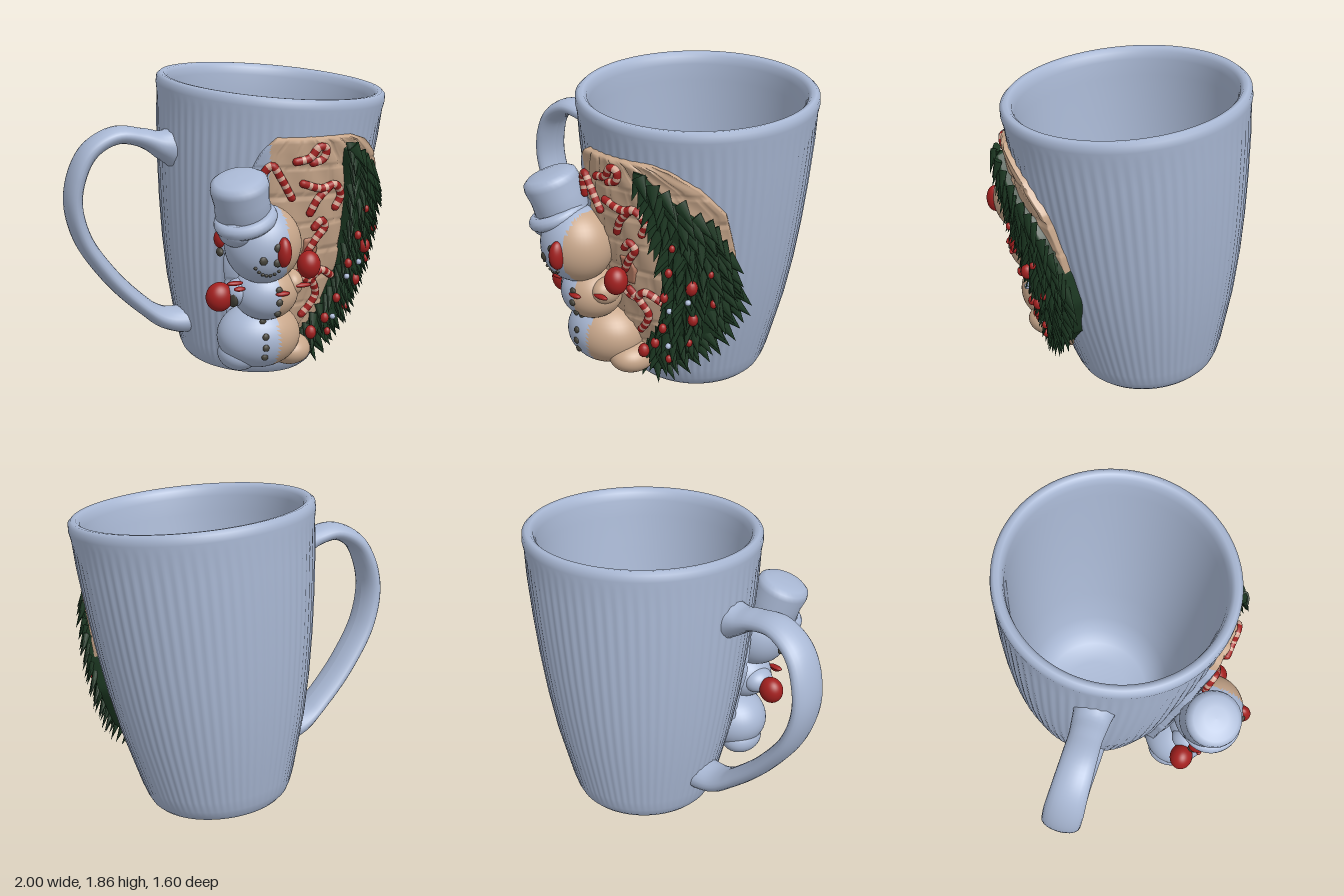
import * as THREE from 'three';
import { mergeGeometries, mergeVertices } from 'three/addons/utils/BufferGeometryUtils.js';

const mat = (name, color) => Object.assign(new THREE.MeshStandardMaterial({ color }), { name });
const V = (x, y, z) => new THREE.Vector3(x, y, z);

// outer wall of the mug as [height, radius]
const WALL = [[0, 0.36], [0.012, 0.39], [0.035, 0.413], [0.08, 0.435], [0.15, 0.457], [0.3, 0.495], [0.5, 0.545], [0.75, 0.592],
  [1, 0.628], [1.25, 0.656], [1.5, 0.678], [1.66, 0.688]];

// piecewise linear lookup in a table sorted by its first column
function lookup(table, t) {
  if (t <= table[0][0]) return table[0][1];
  for (let i = 1; i < table.length; i++) {
    const [a, va] = table[i - 1], [b, vb] = table[i];
    if (t <= b) return va + (vb - va) * (t - a) / (b - a);
  }
  return table[table.length - 1][1];
}

// point on the leaning mug wall; angle in degrees from the front
const LEAN = V(0.059, 1, 0.078);
const axisX = y => 0.2 + LEAN.x * y, axisZ = y => -0.235 + LEAN.z * y;
function onWall(deg, y, off) {
  const r = lookup(WALL, y + 0.01) + off, a = deg * Math.PI / 180;
  return V(axisX(y) + r * Math.sin(a), y, axisZ(y) + r * Math.cos(a));
}
function wallAtX(x, y, off) {
  const s = (x - axisX(y)) / (lookup(WALL, y + 0.01) + off);
  return onWall(Math.asin(Math.max(-1, Math.min(1, s))) * 180 / Math.PI, y, off);
}

// move points that would poke through the mug wall back into it
function keepOutside(g) {
  const p = g.attributes.position;
  for (let i = 0; i < p.count; i++) {
    const y = p.getY(i), dx = p.getX(i) - axisX(y), dz = p.getZ(i) - axisZ(y);
    const k = (lookup(WALL, y) - 0.03) / Math.hypot(dx, dz);
    if (k > 1) p.setXYZ(i, axisX(y) + dx * k, y, axisZ(y) + dz * k);
  }
  return g;
}

// grid between two edge tables, wrapped on the wall, border sunk into the mug
function patch(left, right, y0, y1, offset, nu, nv) {
  const pos = [], idx = [];
  for (let j = 0; j <= nv; j++) for (let i = 0; i <= nu; i++) {
    const y = y0 + (y1 - y0) * j / nv, u = i / nu;
    const l = lookup(left, y), r = lookup(right, y);
    const rim = i === 0 || j === 0 || i === nu || j === nv;
    pos.push(...onWall(l + (r - l) * u, y, rim ? -0.02 : offset(u, y)).toArray());
    if (i < nu && j < nv) {
      const a = j * (nu + 1) + i, b = a + nu + 1;
      idx.push(a, a + 1, b + 1, a, b + 1, b);
    }
  }
  const g = new THREE.BufferGeometry();
  g.setAttribute('position', new THREE.Float32BufferAttribute(pos, 3));
  g.setIndex(idx);
  g.computeVertexNormals();
  return g;
}

// two material groups, divided at a plane of constant x
function splitAtX(g, x0) {
  const sides = [[], []], p = g.attributes.position, ix = g.index.array;
  for (let i = 0; i < ix.length; i += 3) {
    const x = (p.getX(ix[i]) + p.getX(ix[i + 1]) + p.getX(ix[i + 2])) / 3;
    sides[x < x0 ? 0 : 1].push(ix[i], ix[i + 1], ix[i + 2]);
  }
  g.setIndex([...sides[0], ...sides[1]]);
  g.addGroup(0, sides[0].length, 0);
  g.addGroup(sides[0].length, sides[1].length, 1);
  return g;
}

const ball = (c, r, n = 24) => new THREE.SphereGeometry(1, n * 2, n).scale(...r).translate(...c);

export function createModel() {
  const root = new THREE.Group();
  root.name = 'decoratedMug';
  const glaze = mat('blueWhiteGlaze', 0xa9b8d4), cream = mat('cream', 0xc8a78b), red = mat('red', 0xa3201f);
  const green = mat('pineGreen', 0x1c3822), dark = mat('charcoal', 0x45433a), pale = mat('paleStripe', 0xd8ab98);
  const rose = mat('roseTint', 0xb47a62);
  const add = (name, geo, m, parent = root) => {
    const mesh = new THREE.Mesh(geo, m);
    mesh.name = name;
    parent.add(mesh);
    return mesh;
  };
  let seed = 7;
  const rand = () => (seed = (seed * 16807) % 2147483647) / 2147483647;

  // mug body with fluted outside
  const profile = [[0, 0.03], [0.28, 0.03], [0.31, 0.025], [0.33, 0], ...WALL.map(([h, r]) => [r, h]),
    [0.697, 1.71], [0.695, 1.75], [0.675, 1.768], [0.65, 1.765], [0.63, 1.745], [0.62, 1.7], [0.612, 1.6], [0.6, 1.4], [0.565, 1],
    [0.505, 0.55], [0.45, 0.3], [0.4, 0.19], [0.33, 0.135], [0.2, 0.115], [0, 0.11]].map(p => new THREE.Vector2(...p));
  let body = new THREE.LatheGeometry(profile, 360);
  const bp = body.attributes.position;
  for (let i = 0; i < bp.count; i++) {
    const k = i % profile.length, h = bp.getY(i);
    if (k < 8 || k > 14) continue;
    const s = 1 + 0.0045 * Math.min(1, (1.7 - h) * 5) * Math.cos(72 * Math.atan2(bp.getX(i), bp.getZ(i)));
    bp.setX(i, bp.getX(i) * s);
    bp.setZ(i, bp.getZ(i) * s);
  }
  body.deleteAttribute('uv');
  body.deleteAttribute('normal');
  body = mergeVertices(body);
  body.computeVertexNormals();
  const mug = add('mugBody', body, glaze);
  mug.position.set(0.2, 0.033, -0.235);
  mug.quaternion.setFromUnitVectors(V(0, 1, 0), LEAN.clone().normalize());

  // handle: oval sections swept along a loop, flared at both ends
  const path = new THREE.CatmullRomCurve3([[-0.3, 1.42], [-0.42, 1.445], [-0.54, 1.49], [-0.7, 1.51], [-0.86, 1.415], [-0.947, 1.17],
    [-0.9, 0.92], [-0.74, 0.67], [-0.55, 0.47], [-0.4, 0.355], [-0.29, 0.325], [-0.18, 0.325]]
    .map(([x, y]) => V(x, y, -0.045 - (1.5 - y) * 0.1)));
  const thick = [[0, 0.15], [0.04, 0.105], [0.08, 0.067], [0.13, 0.053], [0.85, 0.052], [0.92, 0.07], [0.96, 0.085], [1, 0.085]];
  const wide = [[0, 0.13], [0.05, 0.11], [0.12, 0.095], [0.2, 0.1], [0.35, 0.115], [0.8, 0.11], [1, 0.125]];
  const N = 80, M = 20;
  const handle = new THREE.TubeGeometry(path, N, 1, M, false), hp = handle.attributes.position;
  for (let i = 0; i <= N; i++) {
    const c = path.getPointAt(i / N), t = path.getTangentAt(i / N), n = V(t.y, -t.x, 0).normalize();
    for (let j = 0; j <= M; j++) {
      const a = j / M * Math.PI * 2, p = c.clone().addScaledVector(n, -Math.cos(a) * lookup(thick, i / N));
      hp.setXYZ(i * (M + 1) + j, p.x, p.y, p.z - Math.sin(a) * lookup(wide, i / N));
    }
  }
  keepOutside(handle).computeVertexNormals();
  add('handle', handle, glaze);

  // raised brick panel behind the figures
  const panelLeft = [[0.13, -8], [0.3, -38], [0.8, -42], [1.2, -36], [1.45, -26], [1.55, -18]];
  const panelRight = [[0.13, 20], [0.25, 37], [0.42, 54], [0.65, 64], [1, 62], [1.25, 56], [1.4, 44], [1.5, 30], [1.55, 16]];
  const bricks = (u, y) => {
    const row = Math.floor(y / 0.17), joint = Math.abs(y / 0.17 - row - 0.5) > 0.44;
    const bx = u * 7 + (row % 2) * 0.5;
    return 0.034 + (joint || Math.abs(bx - Math.floor(bx) - 0.5) > 0.46 ? -0.008 : 0) + 0.004 * Math.sin(u * 31 + y * 17);
  };
  add('brickPanel', splitAtX(patch(panelLeft, panelRight, 0.17, 1.54, bricks, 70, 100), 0.03), [glaze, cream]);
  add('roseTintPatch', patch([[0.74, 0], [0.95, 0]], [[0.74, 9], [0.86, 11], [0.95, 6]], 0.74, 0.95, () => 0.041, 8, 10), rose);

  // snowman: glaze on one half, cream on the other
  const snowman = new THREE.Group();
  snowman.name = 'snowman';
  root.add(snowman);
  const head = [[-0.02, 0.945, 0.555], [0.22, 0.225, 0.21]];
  const torso = [[0.025, 0.64, 0.49], [0.19, 0.16, 0.175]];
  const belly = [[0.03, 0.355, 0.38], [0.25, 0.195, 0.215]];
  const snow = [['head', ...head, 0.06], ['torso', ...torso, 0.05], ['belly', ...belly, 0.075],
    ['shoulder', [0.17, 0.69, 0.51], [0.07, 0.08, 0.1], 0], ['leftFoot', [0.23, 0.24, 0.36], [0.13, 0.095, 0.15], 0.075],
    ['rightFoot', [-0.09, 0.245, 0.36], [0.12, 0.1, 0.14], 0.075], ['rightArm', [-0.12, 0.65, 0.47], [0.09, 0.08, 0.1], 0.05]];
  for (const [name, c, r, x] of snow) add(name, splitAtX(keepOutside(ball(c, r)), x), [glaze, cream], snowman);

  // soft hat with cuff and a hanging fold
  const hatShape = [[0, -0.13], [0.13, -0.13], [0.16, -0.1], [0.155, 0], [0.165, 0.08], [0.158, 0.115], [0.13, 0.135], [0.07, 0.145], [0, 0.147]];
  const hat = add('hat', new THREE.LatheGeometry(hatShape.map(p => new THREE.Vector2(...p)), 32), glaze, snowman);
  hat.position.set(-0.16, 1.21, 0.58);
  hat.rotation.set(0.25, 0, 0.24);
  const cuff = add('hatCuff', new THREE.TorusGeometry(0.14, 0.04, 12, 36).rotateX(Math.PI / 2), glaze, snowman);
  cuff.position.set(-0.14, 1.1, 0.59);
  cuff.rotation.set(0.25, 0, 0.3);
  add('hatFold', ball([-0.2, 1.04, 0.59], [0.095, 0.09, 0.13]), glaze, snowman);

  // mittens, nose and scarf scraps
  add('leftMitten', ball([0.275, 0.79, 0.54], [0.068, 0.082, 0.068]), red, snowman);
  add('rightMitten', ball([-0.245, 0.63, 0.46], [0.08, 0.085, 0.07]), red, snowman);
  add('rightCuff', ball([-0.175, 0.63, 0.48], [0.03, 0.06, 0.07]), dark, snowman);
  add('nose', ball([0.022, 0.935, 0.75], [0.043, 0.085, 0.053]), red, snowman);
  add('earmuff', ball([-0.275, 0.99, 0.54], [0.03, 0.05, 0.045]), red, snowman);
  add('earmuffBand', ball([-0.265, 0.91, 0.52], [0.02, 0.025, 0.03], 8), dark, snowman);
  for (const [x, y, z, w] of [[-0.19, 0.73, 0.56, 0.05], [-0.17, 0.7, 0.58, 0.035], [0.06, 0.67, 0.66, 0.045], [0.21, 0.69, 0.6, 0.055]])
    add('scarfScrap', ball([x, y, z], [w, 0.014, 0.02], 8), red, snowman);

  // eyes, mouth and buttons set on the round surfaces
  const stud = (name, [c, r], x, y, s) => {
    const k = 1 - ((x - c[0]) / r[0]) ** 2 - ((y - c[1]) / r[1]) ** 2;
    add(name, ball([x, y, c[2] + r[2] * Math.sqrt(Math.max(0, k))], [s, s, 0.012], 6), dark, snowman);
  };
  for (const [x, y] of [[-0.015, 0.965], [-0.095, 0.895], [-0.015, 0.88]]) stud('eye', head, x, y, 0.025);
  for (let i = 0; i < 7; i++) stud('mouth', head, -0.13 + i * 0.022, 0.8 + 0.004 * (i - 3.5) ** 2, 0.01);
  for (const y of [0.69, 0.62, 0.55]) stud('button', torso, 0.04, y, 0.021);
  for (const y of [0.48, 0.4, 0.335, 0.275]) stud('button', belly, -0.01, y, 0.021);

  // striped candy canes on the panel
  const canes = [
    [[0, 1.24], [0, 1.34], [0.04, 1.38], [0.09, 1.31], [0.16, 1.19]],
    [[0.17, 1.4], [0.25, 1.42], [0.3, 1.48], [0.345, 1.47], [0.33, 1.41], [0.27, 1.39]],
    [[0.22, 1.27], [0.34, 1.235], [0.43, 1.25], [0.48, 1.18], [0.45, 1.11]],
    [[0.28, 1.09], [0.32, 1.17], [0.39, 1.24]],
    [[0.29, 0.85], [0.34, 0.93], [0.39, 1.0], [0.36, 1.04], [0.32, 1.0]],
    [[0.24, 0.72], [0.32, 0.67], [0.4, 0.72], [0.49, 0.67]],
    [[0.3, 0.72], [0.36, 0.64], [0.39, 0.57], [0.36, 0.5], [0.31, 0.44]]];
  for (const pts of canes) {
    const curve = new THREE.CatmullRomCurve3(pts.map(([x, y]) => wallAtX(x, y, 0.045)));
    const rings = Math.round(curve.getLength() / 0.011) + 1;
    const tube = new THREE.TubeGeometry(curve, rings, 0.023, 10, false);
    for (let i = 0; i < rings; i++) tube.addGroup(i * 60, 60, i % 5 < 3 ? 0 : 1);
    add('candyCane', tube, [red, pale]);
    for (const end of [0, 1]) add('caneTip', ball(curve.getPointAt(end).toArray(), [0.023, 0.023, 0.023], 6), red);
  }

  // evergreen: dark base covered with overlapping leaf tips
  const firLeft = [[0.13, 8], [0.3, 9], [0.45, 20], [0.7, 25], [0.9, 24], [1.2, 19], [1.48, 14.5]];
  const firRight = [[0.13, 18], [0.28, 40], [0.45, 58], [0.7, 66], [0.9, 63], [1.1, 55], [1.2, 47], [1.3, 35], [1.4, 24], [1.48, 17]];
  add('evergreenBase', patch(firLeft, firRight, 0.15, 1.48, u => 0.055 + 0.045 * Math.sin(Math.PI * u), 16, 40), green);
  const leaves = [], rows = 24;
  for (let j = 0; j < rows; j++) {
    const y = 0.2 + 1.22 * j / (rows - 1), l = lookup(firLeft, y), r = lookup(firRight, y);
    const count = Math.max(2, Math.round((r - l) / 6));
    for (let i = 0; i < count; i++) {
      const u = (i + 0.25 + rand() * 0.5) / count, deg = l + (r - l) * u, a = deg * Math.PI / 180;
      const n = V(Math.sin(a), 0, Math.cos(a)), t = V(Math.cos(a), 0, -Math.sin(a));
      const d = t.multiplyScalar(-0.45 + 1.25 * u + (rand() - 0.5) * 0.5).add(V(0, -1, 0)).addScaledVector(n, 0.3).normalize();
      const x = d.clone().cross(n).normalize();
      const base = onWall(deg, y + (rand() - 0.5) * 0.03, 0.085 + 0.025 * Math.sin(Math.PI * u));
      const m = new THREE.Matrix4().makeBasis(x, d, x.clone().cross(d)).setPosition(base);
      leaves.push(new THREE.ConeGeometry(0.046, 0.13 + 0.05 * rand(), 7).scale(1, 1, 0.5).applyMatrix4(m));
    }
  }
  add('evergreenLeaves', mergeGeometries(leaves), green);

  // berries and small frosted dots among the leaves
  const berries = [[0.71, 0.83, 0.036], [0.62, 0.92, 0.022], [0.68, 0.61, 0.03], [0.52, 0.53, 0.024], [0.45, 0.41, 0.026], [0.36, 0.33, 0.034],
    [0.8, 0.92, 0.018], [0.57, 0.75, 0.024], [0.63, 0.44, 0.02], [0.78, 0.72, 0.02], [0.5, 0.3, 0.02], [0.66, 1.08, 0.018]];
  for (const [x, y, s] of berries) add('berry', ball(wallAtX(x, y, 0.122).toArray(), [s, s * 1.25, s], 8), red);
  for (const [x, y] of [[0.58, 0.66], [0.68, 0.73], [0.52, 0.4]])
    add('frostDot', ball(wallAtX(x, y, 0.122).toArray(), [0.018, 0.018, 0.018], 6), glaze);
  return root;
}
